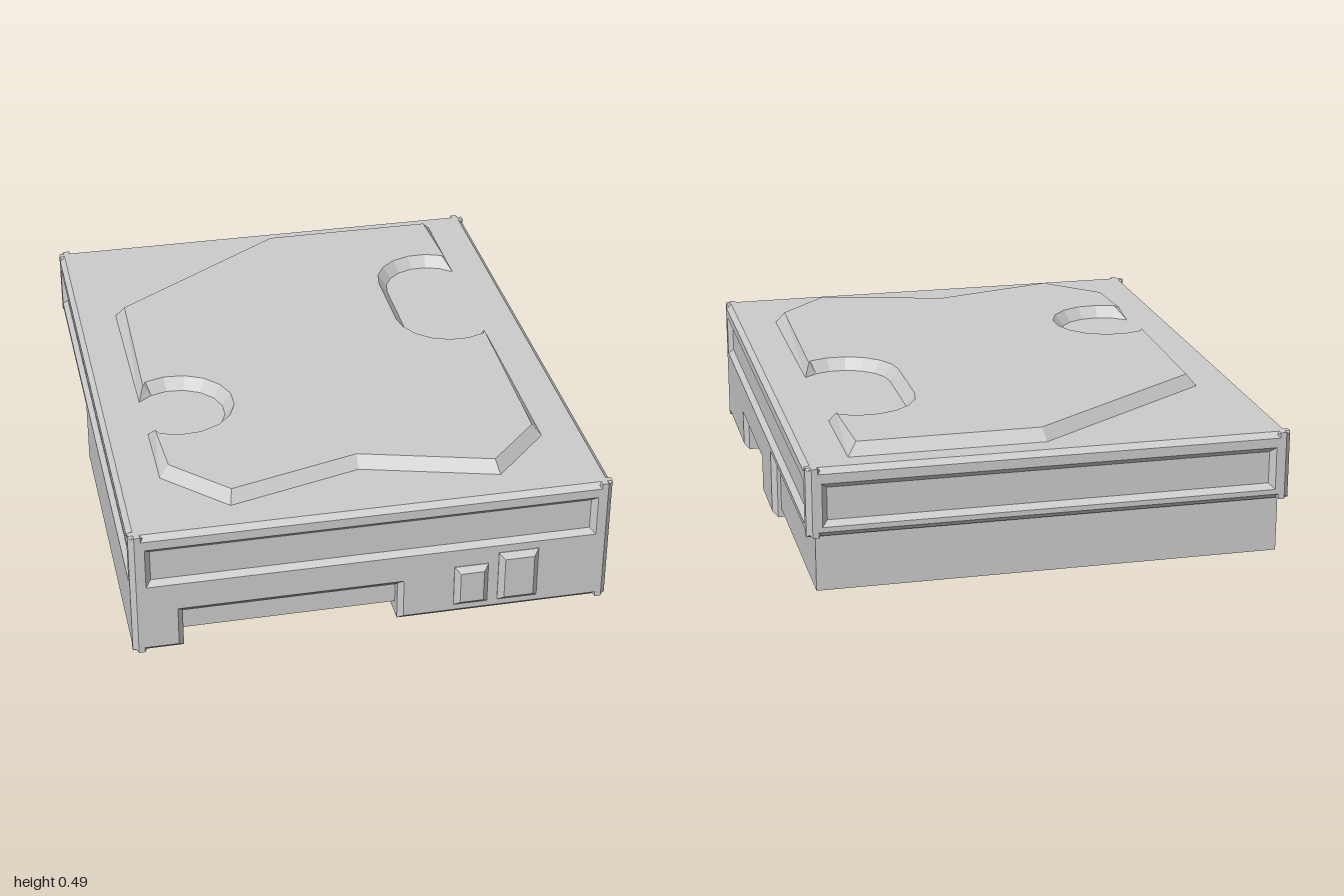
import * as THREE from 'three';

const grey = new THREE.MeshStandardMaterial({ color: 0xcccccc, flatShading: true });
const CH = 0.018; // chamfer on the case edges

const toShape = (pts) => new THREE.Shape(pts.map(([x, y]) => new THREE.Vector2(x, y)));
const rect = (x0, y0, x1, y1) => [[x0, y0], [x1, y0], [x1, y1], [x0, y1]];

function add(group, name, geometry) {
  const mesh = new THREE.Mesh(geometry, grey);
  mesh.name = name;
  group.add(mesh);
}

// Chamfered plate whose outer face lies at z = 0; the optional opening gets sloped walls
function plate(outline, opening) {
  const shape = toShape(outline);
  if (opening) {
    const [x0, y0, x1, y1] = opening;
    shape.holes.push(toShape(rect(x0 + CH, y0 + CH, x1 - CH, y1 - CH)));
  }
  const depth = 0.02;
  return new THREE.ExtrudeGeometry(shape, {
    depth, bevelEnabled: true, bevelSegments: 1, bevelSize: CH, bevelThickness: CH, bevelOffset: -CH,
  }).translate(0, 0, -depth - CH);
}

// Horizontal slab from a plan outline given as [x, z] points
function slab(plan, y0, y1) {
  return new THREE.ExtrudeGeometry(toShape(plan.map(([x, z]) => [x, -z])), { depth: y1 - y0, bevelEnabled: false })
    .rotateX(-Math.PI / 2).translate(0, y0, 0);
}

function box(x0, x1, y0, y1, z0, z1) {
  return new THREE.BoxGeometry(x1 - x0, y1 - y0, z1 - z0)
    .translate((x0 + x1) / 2, (y0 + y1) / 2, (z0 + z1) / 2);
}

function arc(cx, cz, r, a0, a1, n) {
  return Array.from({ length: n + 1 }, (_, i) => {
    const a = a0 + (a1 - a0) * i / n;
    return [cx + r * Math.cos(a), cz + r * Math.sin(a)];
  });
}

// Plan of the lower case, with a front notch and a right-hand side notch
const lowerPlan = (frontZ, sideX) => [
  [-0.782, -0.22], [0.782, -0.22], [0.782, 0.02 + CH], [sideX, 0.02 + CH], [sideX, 0.53 - CH], [0.782, 0.53 - CH],
  [0.782, 0.962], [0.1 - CH, 0.962], [0.1 - CH, frontZ], [-0.65 + CH, frontZ], [-0.65 + CH, 0.962], [-0.782, 0.962],
];

export function createModel() {
  const model = new THREE.Group();
  model.name = 'diskDrive';

  // Case core
  add(model, 'upperCase', box(-0.782, 0.782, 0.22, 0.45, -0.982, 0.962));
  add(model, 'lowerCase', slab(rect(-0.782, -0.22, 0.782, 0.962), 0.137, 0.23));
  add(model, 'connectorRecess', slab(lowerPlan(0.93, 0.73), 0.045, 0.137));
  add(model, 'bottomSlab', slab(lowerPlan(0.58, 0.5), 0, 0.045));
  add(model, 'rearBlock', box(-0.77, 0.77, 0.03, 0.23, -0.97, -0.2));

  // Chamfered outer faces with long recessed panels
  add(model, 'frontFace', plate([
    [-0.8, 0], [-0.65 + CH, 0], [-0.65 + CH, 0.14], [0.1 - CH, 0.14], [0.1 - CH, 0], [0.8, 0], [0.8, 0.45], [-0.8, 0.45],
  ], [-0.75, 0.255, 0.75, 0.4]).translate(0, 0, 0.98));

  add(model, 'backFace', plate(rect(-0.8, 0.22, 0.8, 0.45), [-0.75, 0.255, 0.75, 0.4])
    .rotateY(Math.PI).translate(0, 0, -1));

  // Side outlines run along z, with a step at the rear
  const step = [[1, 0.22], [1, 0.45], [-0.98, 0.45], [-0.98, 0]];
  const notch = [[-0.53 + CH, 0], [-0.53 + CH, 0.125], [-0.02 - CH, 0.125], [-0.02 - CH, 0]];
  const stepEnd = [[0.22, 0], [0.22, 0.22]];
  add(model, 'notchedSideFace', plate([...step, ...notch, ...stepEnd], [-0.93, 0.255, 0.95, 0.4])
    .rotateY(Math.PI / 2).translate(0.8, 0, 0));
  const plain = [...step, ...stepEnd].map(([u, v]) => [-u, v]);
  add(model, 'plainSideFace', plate(plain, [-0.95, 0.255, 0.93, 0.4])
    .rotateY(-Math.PI / 2).translate(-0.8, 0, 0));

  // Raised lid with bevelled rim and two rounded cut-outs
  const lid = [
    [0, -0.91], [0.65, -0.91],
    ...arc(0.53, -0.435, 0.16, -0.724, -Math.PI, 7),
    ...arc(0.53, -0.165, 0.16, Math.PI, 0.724, 7),
    [0.65, 0.65], [0.45, 0.855], [0, 0.73], [-0.45, 0.855], [-0.65, 0.65],
    ...arc(-0.53, 0.27, 0.16, 2.418, -2.418, 13),
    [-0.65, -0.46],
  ];
  add(model, 'raisedLid', new THREE.ExtrudeGeometry(toShape(lid.map(([x, z]) => [x, -z])), {
    depth: 0.02, bevelEnabled: true, bevelSegments: 1, bevelSize: 0.032, bevelThickness: 0.04, bevelOffset: -0.032,
  }).rotateX(-Math.PI / 2).translate(0, 0.43, 0));

  // Two small sockets on the front
  for (const r of [[0.27, 0.04, 0.385, 0.19], [0.42, 0.04, 0.555, 0.227]]) {
    add(model, 'frontSocket', plate(rect(...r)).translate(0, 0, 1));
  }
  return model;
}
